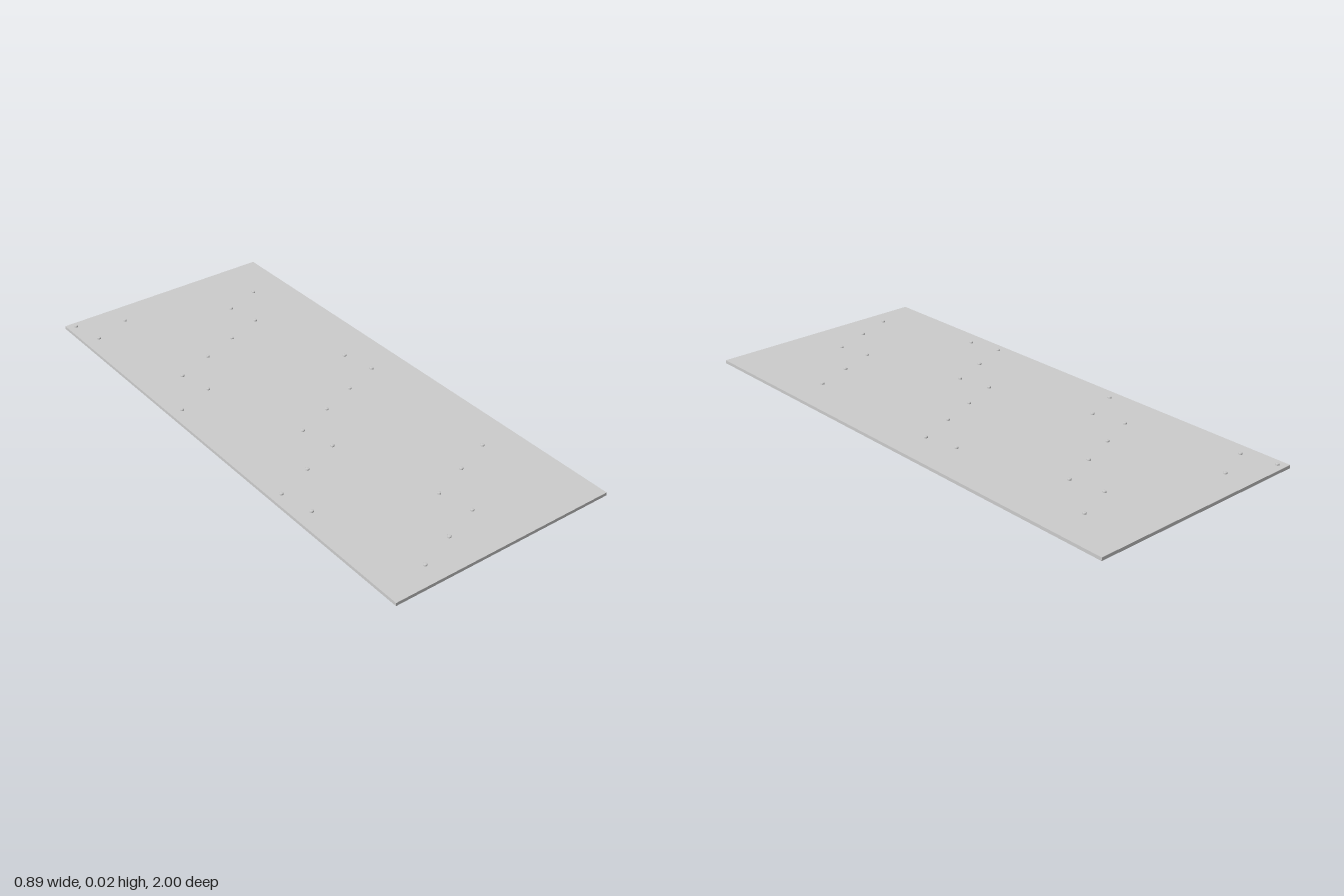
import * as THREE from 'three';

const THICKNESS = 0.012;
const STEP_X = -0.148, STEP_Z = 0.057;

// Diagonal runs of studs: start x, start z, count
const RUNS = [
  [-0.413, -0.971, 1], [-0.238, -0.897, 2], [0.294, -0.783, 2],
  [0.169, -0.593, 4], [-0.249, -0.291, 2], [0.286, -0.177, 1],
  [0.31, -0.045, 4], [-0.108, 0.259, 3], [-0.381, 0.505, 1],
  [0.302, 0.563, 3], [0.032, 0.807, 3],
];

export function createModel() {
  const model = new THREE.Group();
  const material = new THREE.MeshStandardMaterial({ color: 0xcccccc });

  // Flat rectangular panel
  const panel = new THREE.Mesh(new THREE.BoxGeometry(0.888, THICKNESS, 2), material);
  panel.name = 'panel';
  panel.position.y = THICKNESS / 2;
  model.add(panel);

  // Small round studs with a softened top edge
  const profile = [[0.007, 0], [0.007, 0.0045], [0.0055, 0.006], [0, 0.006]]
    .map(([r, y]) => new THREE.Vector2(r, y));
  const studGeometry = new THREE.LatheGeometry(profile, 16);
  const studs = new THREE.Group();
  studs.name = 'studs';
  for (const [x, z, count] of RUNS) {
    for (let i = 0; i < count; i++) {
      const stud = new THREE.Mesh(studGeometry, material);
      stud.name = 'stud';
      stud.position.set(x + i * STEP_X, THICKNESS, z + i * STEP_Z);
      studs.add(stud);
    }
  }
  model.add(studs);
  return model;
}
